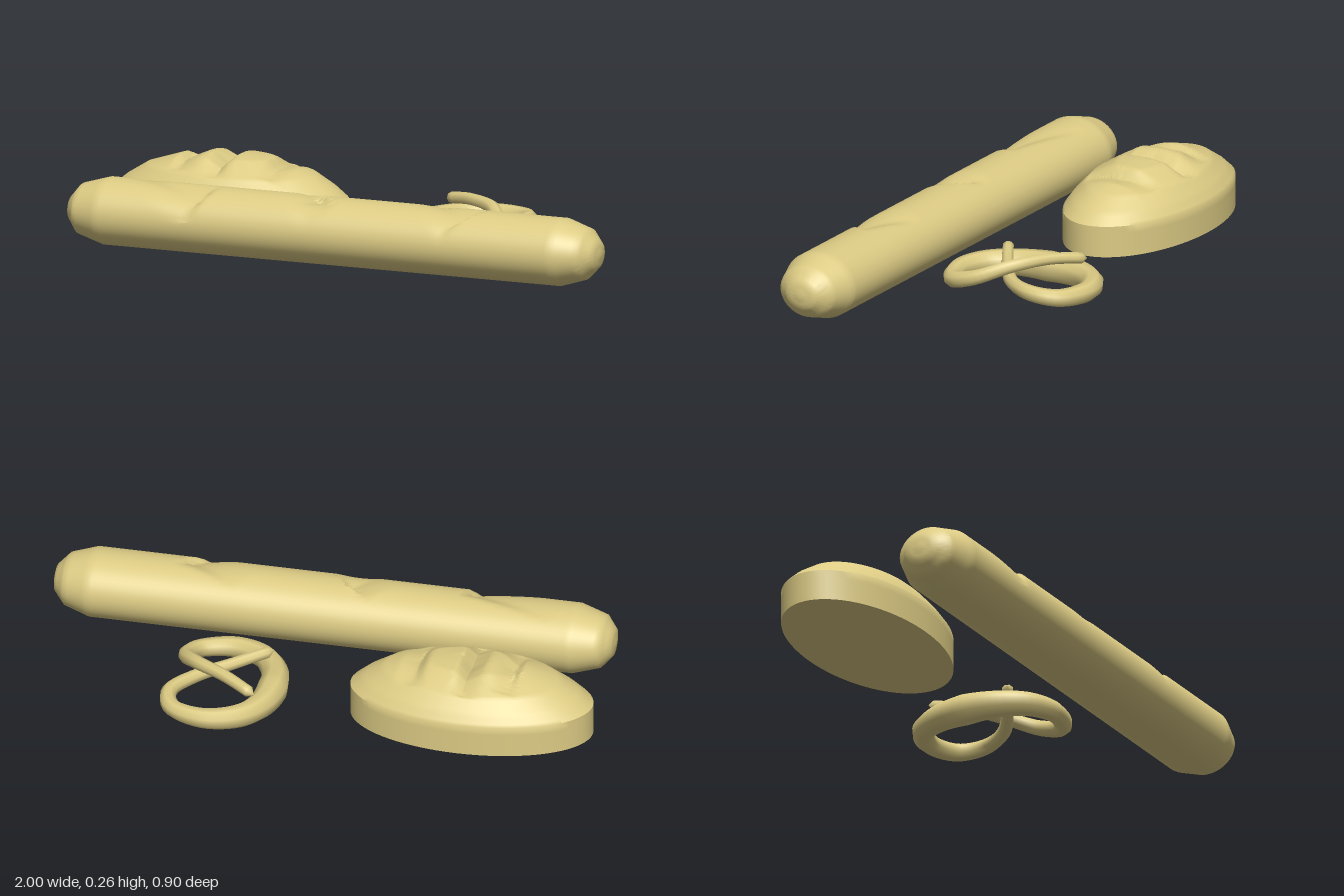
import * as THREE from 'three';
import { toCreasedNormals } from 'three/addons/utils/BufferGeometryUtils.js';

const crust = new THREE.MeshStandardMaterial({ color: 0xdccb84 });
crust.name = 'crust';

// Splits a coarse profile into evenly spaced points
function refine(points, step) {
  const out = [];
  for (let i = 0; i < points.length - 1; i++) {
    const a = new THREE.Vector2(...points[i]);
    const b = new THREE.Vector2(...points[i + 1]);
    const n = Math.max(1, Math.round(a.distanceTo(b) / step));
    for (let k = 0; k < n; k++) out.push(a.clone().lerp(b, k / n));
  }
  out.push(new THREE.Vector2(...points[points.length - 1]));
  return out;
}

// Presses the upper surface down by depth(x, z)
function carve(geo, minY, depth) {
  const p = geo.attributes.position;
  for (let i = 0; i < p.count; i++) {
    const y = p.getY(i);
    if (y > minY) p.setY(i, y - depth(p.getX(i), p.getZ(i)));
  }
}

function addMesh(group, geo, name, crease) {
  geo.deleteAttribute('uv');
  const mesh = new THREE.Mesh(toCreasedNormals(geo, crease), crust);
  mesh.name = name;
  group.add(mesh);
}

// Long loaf: a lathe laid along x, with three diagonal slashes
function makeBaguette(group) {
  const profile = [
    [0, -0.98], [0.4, -0.972], [0.76, -0.935], [1, -0.84],
    [1, 0.86], [0.76, 0.95], [0.4, 0.99], [0, 1],
  ].map(([r, x]) => [r * 0.137, x]);
  const geo = new THREE.LatheGeometry(refine(profile, 0.018), 60);
  geo.rotateZ(-Math.PI / 2);
  geo.scale(1, 0.117 / 0.137, 1);
  geo.translate(0, 0.117, 0.31);

  // Each slash: start, upper corner, end (x, z)
  const slashes = [
    [[-0.76, 0.23], [-0.43, 0.31], [-0.44, 0.385]],
    [[-0.12, 0.235], [-0.03, 0.29], [0.03, 0.385]],
    [[0.35, 0.22], [0.57, 0.305], [0.53, 0.37]],
  ];
  carve(geo, 0.14, (x, z) => {
    let d = 0;
    for (const [a, b, c] of slashes) {
      const len = Math.hypot(c[0] - a[0], c[1] - a[1]);
      const dx = (c[0] - a[0]) / len, dz = (c[1] - a[1]) / len;
      const along = (px, pz) => ((px - a[0]) * dx + (pz - a[1]) * dz) / len;
      const across = (px, pz) => (pz - a[1]) * dx - (px - a[0]) * dz;
      const u = along(x, z), w = across(x, z);
      const ub = Math.min(0.93, along(...b));
      const f = Math.min(u / ub, (1 - u) / (1 - ub));
      if (f <= 0) continue;
      const width = -across(...b) * f;
      const fall = w < 0 ? 1 + w / width : 1 - w / 0.12;
      d = Math.max(d, 0.03 * f * fall);
    }
    return d;
  });
  addMesh(group, geo, 'baguette', 0.6);
}

// Flat-bottomed oval loaf with three cross cuts
function makeRoundLoaf(group) {
  const cx = -0.575, cz = -0.14;
  const profile = [
    [0, 0.01], [1, 0.01], [1, 0.12], [0.9, 0.155], [0.73, 0.2],
    [0.38, 0.248], [0.18, 0.255], [0, 0.256],
  ];
  const geo = new THREE.LatheGeometry(refine(profile, 0.03), 72);
  geo.scale(0.425, 1, 0.232);
  geo.translate(cx, 0, cz);

  // Cut: left lip, floor, right lip, half length, depth
  const cuts = [
    [-0.755, -0.73, -0.66, 0.135, 0.03],
    [-0.635, -0.575, -0.54, 0.17, 0.045],
    [-0.43, -0.395, -0.33, 0.135, 0.03],
  ];
  carve(geo, 0.15, (x, z) => {
    let d = 0;
    for (const [l, m, r, half, deep] of cuts) {
      const f = 1 - Math.abs(z - cz) / half;
      const g = x < m ? (x - l) / (m - l) : (r - x) / (r - m);
      if (f > 0 && g > 0) d = Math.max(d, deep * g * Math.sqrt(f));
    }
    return d;
  });
  addMesh(group, geo, 'roundLoaf', 0.75);
}

// Twisted knot: one strand, thick at the back of the loop, thin at the tips
function makePretzel(group) {
  const path = new THREE.CatmullRomCurve3([
    [0.15, 0.122, -0.33], [0.27, 0.14, -0.255], [0.385, 0.133, -0.175],
    [0.45, 0.09, -0.06], [0.425, 0.062, 0.04], [0.31, 0.06, 0.08],
    [0.2, 0.058, 0.04], [0.14, 0.055, -0.05], [0.122, 0.055, -0.17],
    [0.14, 0.055, -0.29], [0.2, 0.058, -0.38], [0.31, 0.06, -0.42],
    [0.425, 0.065, -0.38], [0.455, 0.075, -0.29], [0.39, 0.078, -0.175],
    [0.27, 0.095, -0.085], [0.15, 0.122, -0.015],
  ].map((p) => new THREE.Vector3(...p)), false, 'centripetal');
  const rows = 90, sides = 8;
  const geo = new THREE.TubeGeometry(path, rows, 1, sides, false);
  const p = geo.attributes.position;
  const v = new THREE.Vector3();
  for (let i = 0; i <= rows; i++) {
    const center = path.getPointAt(i / rows);
    const t = 1 - Math.abs((2 * i) / rows - 1);
    let radius = 0.02 + 0.028 * t * t + 0.006 * t;
    if (i === 0 || i === rows) radius = 0.0005;
    for (let k = 0; k <= sides; k++) {
      const n = i * (sides + 1) + k;
      v.fromBufferAttribute(p, n).sub(center).multiplyScalar(radius).add(center);
      p.setXYZ(n, v.x, v.y, v.z);
    }
  }
  addMesh(group, geo, 'pretzel', 1.2);
}

export function createModel() {
  const group = new THREE.Group();
  group.name = 'breadAssortment';
  makeBaguette(group);
  makeRoundLoaf(group);
  makePretzel(group);
  return group;
}
